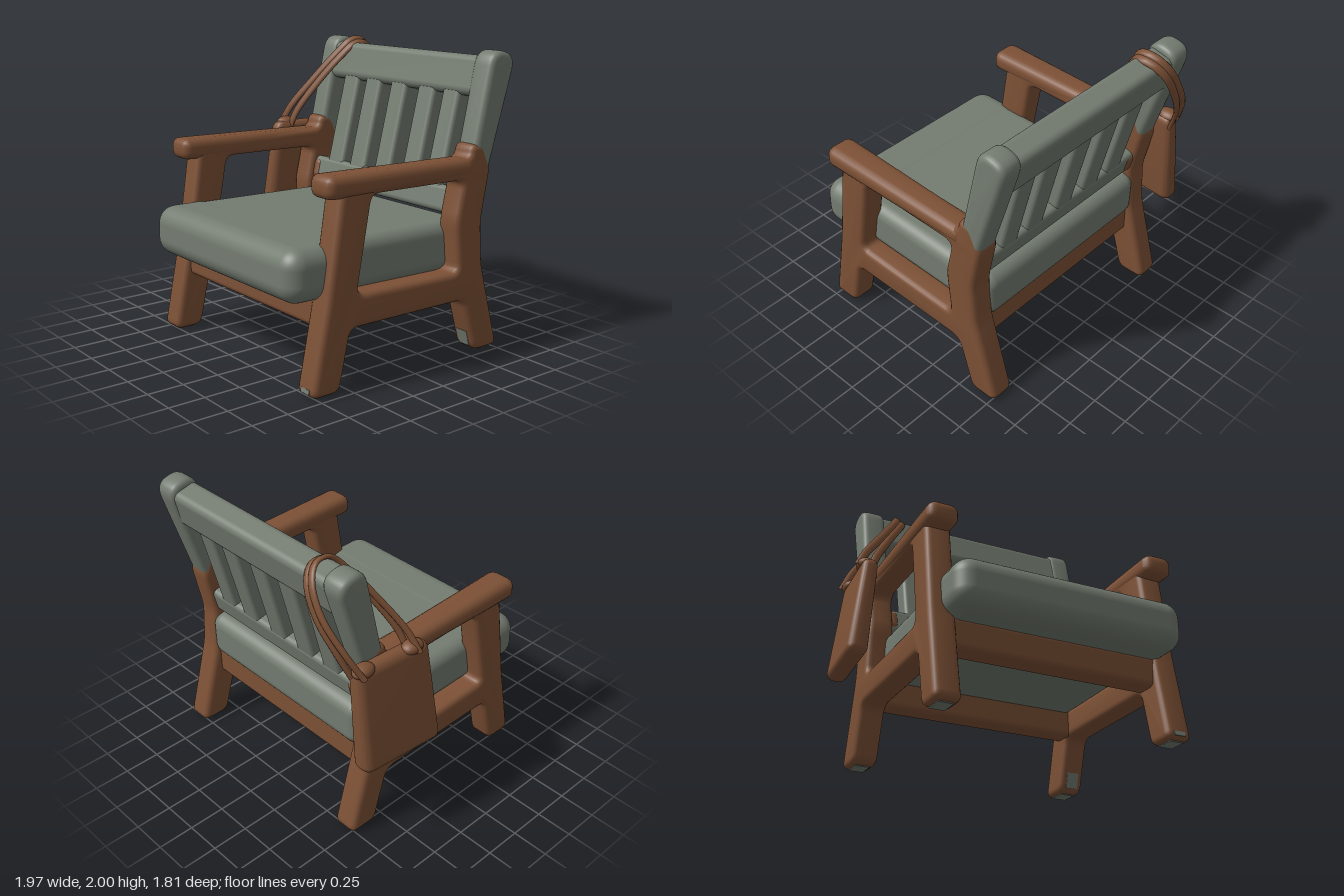
import * as THREE from 'three';
import { toCreasedNormals } from 'three/addons/utils/BufferGeometryUtils.js';
import { RoundedBoxGeometry } from 'three/addons/geometries/RoundedBoxGeometry.js';

const MID = 0.09; // the chair's own centre line in x

// Closed outline with rounded corners
function roundedOutline(pts, r, Kind = THREE.Shape) {
  const path = new Kind();
  const v = pts.map(p => new THREE.Vector2(...p));
  v.forEach((p, i) => {
    const toward = q => {
      const d = q.clone().sub(p);
      return p.clone().add(d.clone().setLength(Math.min(r, d.length() * 0.45)));
    };
    const a = toward(v[(i + v.length - 1) % v.length]);
    const b = toward(v[(i + 1) % v.length]);
    if (i === 0) path.moveTo(a.x, a.y); else path.lineTo(a.x, a.y);
    path.quadraticCurveTo(p.x, p.y, b.x, b.y);
  });
  path.closePath();
  return path;
}

// Soft-edged slab, outline given as (z, y), thickness centred along x
function sideSlab(pts, thickness, bevel, r, holes = []) {
  const shape = roundedOutline(pts, r);
  shape.holes = holes.map(h => roundedOutline(h, r, THREE.Path));
  const geo = new THREE.ExtrudeGeometry(shape, {
    depth: thickness - 2 * bevel, bevelThickness: bevel, bevelSize: bevel,
    bevelOffset: -bevel, bevelSegments: 4, curveSegments: 5,
  });
  geo.translate(0, 0, -(thickness - 2 * bevel) / 2).rotateY(-Math.PI / 2);
  return toCreasedNormals(geo, 0.6);
}

// Flat strap swept along a curve; spread(t) shifts it sideways
function strapGeometry(curve, across, halfWidth, halfThick, spread) {
  const rows = 48, ring = 10, pos = [], idx = [];
  for (let i = 0; i <= rows; i++) {
    const t = i / rows, n = curve.getTangentAt(t).cross(across).normalize();
    const c = curve.getPointAt(t).addScaledVector(across, spread(t));
    for (let j = 0; j < ring; j++) {
      const a = j / ring * Math.PI * 2;
      const p = c.clone().addScaledVector(across, halfWidth * Math.cos(a)).addScaledVector(n, halfThick * Math.sin(a));
      pos.push(p.x, p.y, p.z);
      if (i < rows) {
        const k = i * ring + j, m = i * ring + (j + 1) % ring;
        idx.push(k, m, k + ring, m, m + ring, k + ring);
      }
    }
  }
  const geo = new THREE.BufferGeometry();
  geo.setAttribute('position', new THREE.Float32BufferAttribute(pos, 3));
  geo.setIndex(idx);
  geo.computeVertexNormals();
  return geo;
}

export function createModel() {
  const model = new THREE.Group();
  model.name = 'armchair';
  const wood = new THREE.MeshStandardMaterial({ color: 0x7d5136 });
  wood.name = 'brown wood';
  const sage = new THREE.MeshStandardMaterial({ color: 0x747c71 });
  sage.name = 'sage green';

  const add = (name, geo, mat, x = 0, y = 0, z = 0, parent = model) => {
    const mesh = new THREE.Mesh(geo, mat);
    mesh.name = name;
    mesh.position.set(x, y, z);
    parent.add(mesh);
    return mesh;
  };
  const roundBox = (w, h, d, r) => new RoundedBoxGeometry(w, h, d, 5, r);

  // Side frames: legs and side rail in one piece, armrest, back post
  const frameGeo = sideSlab([
    [0.575, 0.006], [0.79, 0.006], [0.67, 0.6], [0.56, 1.32], [-0.48, 1.32], [-0.5, 1.41], [-0.6, 1.41],
    [-0.675, 1.24], [-0.605, 0.9], [-0.625, 0.6], [-0.79, 0.006], [-0.57, 0.006], [-0.46, 0.38], [0.49, 0.39],
  ], 0.178, 0.04, 0.06, [
    [[0.44, 0.6], [0.33, 1.2], [-0.43, 1.185], [-0.37, 0.92], [-0.4, 0.58]],
  ]);
  const armGeo = sideSlab([[0.685, 1.205], [0.685, 1.35], [-0.52, 1.325], [-0.52, 1.2]], 0.215, 0.058, 0.06);
  const armPos = armGeo.attributes.position;
  for (let i = 0; i < armPos.count; i++) // narrower towards the back
    armPos.setX(i, armPos.getX(i) * (0.898 + 0.149 * armPos.getZ(i)));
  const postGeo = sideSlab([
    [-0.47, 1.15], [-0.655, 1.96], [-0.73, 2.0], [-0.84, 1.97], [-0.868, 1.9], [-0.635, 1.15],
  ], 0.172, 0.04, 0.06);
  for (const [side, s] of [['right', -1], ['left', 1]]) {
    add(side + 'Frame', frameGeo, wood, MID + s * 0.786);
    add(side + 'Armrest', armGeo, wood, MID + s * 0.793);
    add(side + 'BackPost', postGeo, sage, MID + s * 0.786);
    for (const z of [0.68, -0.68])
      add(side + 'FootPad', new THREE.BoxGeometry(0.1, 0.008, 0.13), sage, MID + s * 0.786, 0.004, z);
  }

  // Worn green patches on the left feet, brown joint at the right of the back
  add('frontFootPatch', new THREE.BoxGeometry(0.08, 0.03, 0.006), sage, MID + 0.786, 0.045, 0.781).rotation.x = -0.2;
  add('rearFootPatch', new THREE.BoxGeometry(0.09, 0.11, 0.006), sage, MID + 0.786, 0.09, -0.545).rotation.x = 0.28;
  add('backJoint', roundBox(0.1, 0.15, 0.18, 0.04), wood, -0.595, 1.01, -0.52).rotation.x = -0.243;

  // Front and back seat rails
  add('frontRail', roundBox(1.5, 0.21, 0.18, 0.04), wood, MID, 0.495, 0.57);
  add('backRail', roundBox(1.5, 0.24, 0.17, 0.04), wood, MID, 0.5, -0.51);

  // Seat cushion, wider in front of the legs
  const cushion = new THREE.Group();
  cushion.name = 'seatCushion';
  cushion.position.y = 0.73;
  cushion.rotation.x = -0.018;
  model.add(cushion);
  add('cushionBody', roundBox(1.5, 0.336, 1.44, 0.09), sage, MID, 0, 0.09, cushion);
  add('cushionFront', roundBox(1.6, 0.34, 0.43, 0.12), sage, MID + 0.01, 0, 0.685, cushion);

  // Slatted back, leaning backwards
  const back = new THREE.Group();
  back.name = 'backrest';
  back.position.set(0, 0.93, -0.5);
  back.rotation.x = -0.243;
  model.add(back);
  add('bottomRail', roundBox(1.56, 0.18, 0.16, 0.035), sage, MID, 0.085, 0, back);
  add('topRail', roundBox(1.56, 0.27, 0.19, 0.05), sage, MID, 0.91, -0.01, back);
  const slats = [[-0.49, -0.32], [-0.245, -0.075], [0.025, 0.19], [0.305, 0.47], [0.545, 0.7]];
  for (const [a, b] of slats)
    add('backSlat', roundBox(b - a, 0.78, 0.15, 0.03), sage, (a + b) / 2, 0.48, 0, back);

  // Shoulder bag hanging beside the right back post
  const bag = new THREE.Group();
  bag.name = 'shoulderBag';
  model.add(bag);
  const H = 0.74;
  const bagGeo = roundBox(0.15, H, 0.62, 0.06);
  const p = bagGeo.attributes.position;
  for (let i = 0; i < p.count; i++) {
    const t = p.getY(i) / H + 0.5, z = p.getZ(i) * (1 - 0.1 * t);
    p.setX(i, p.getX(i) * (1 - 0.25 * t) - 0.895 + 0.08 * t - 0.08 * z);
    p.setZ(i, z - 0.02 * t);
  }
  add('bagBody', toCreasedNormals(bagGeo, 0.6), wood, 0, 0.995, -0.495, bag);

  // Two-strand strap looped over the top rail
  const V = (x, y, z) => new THREE.Vector3(x, y, z);
  const loop = new THREE.CatmullRomCurve3([
    V(-0.86, 1.3, -0.34), V(-0.8, 1.45, -0.38), V(-0.67, 1.66, -0.48), V(-0.54, 1.86, -0.6), V(-0.48, 1.96, -0.69),
    V(-0.48, 1.96, -0.8), V(-0.53, 1.88, -0.875), V(-0.63, 1.7, -0.895), V(-0.75, 1.5, -0.85), V(-0.83, 1.3, -0.77),
  ]);
  const across = V(0.85, -0.52, 0).normalize();
  for (const s of [-1, 1])
    add('strapStrand', strapGeometry(loop, across, 0.029, 0.016, t => s * (0.023 + 0.03 * Math.abs(2 * t - 1) ** 3)), wood, 0, 0, 0, bag);

  // Gathered knots where the strap meets the bag
  for (const [x, z] of [[-0.85, -0.35], [-0.82, -0.73]])
    add('strapKnot', new THREE.SphereGeometry(0.05, 16, 12), wood, x, 1.35, z, bag).scale.set(1.2, 0.9, 1.6);
  return model;
}
